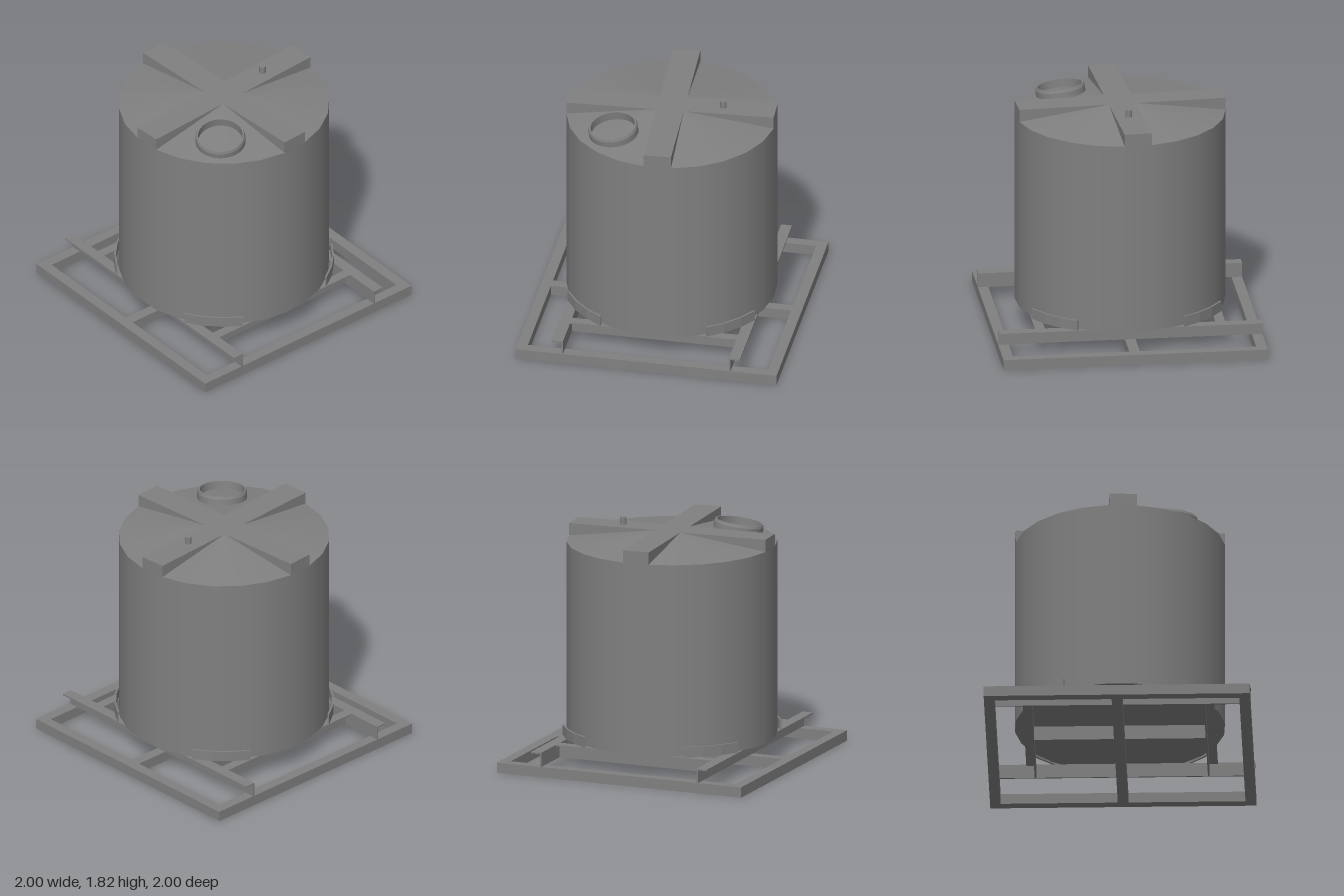
import * as THREE from 'three';

const steel = new THREE.MeshStandardMaterial({ color: 0x808080 });
steel.name = 'grey';

const R = 0.793, LOW = 1.67, HIGH = 1.765, BASE = 0.192;
const STEP = Math.PI / 12, HALF = STEP / 2;

function add(parent, name, geometry, x = 0, y = 0, z = 0) {
  const mesh = new THREE.Mesh(geometry, steel);
  mesh.name = name;
  mesh.position.set(x, y, z);
  parent.add(mesh);
  return mesh;
}

// Box given by its min and max corners
function bar(parent, name, x0, x1, y0, y1, z0, z1) {
  return add(parent, name, new THREE.BoxGeometry(x1 - x0, y1 - y0, z1 - z0),
    (x0 + x1) / 2, (y0 + y1) / 2, (z0 + z1) / 2);
}

// Tank roof: a level cross of ribs with four sloping panels between them
function roofGeometry() {
  const pts = [];
  const tri = (...p) => p.forEach(v => pts.push(...v));
  const quad = (a, b, c, d) => { tri(a, b, c); tri(a, c, d); };
  const rim = (a, y) => [R * Math.sin(a), y, R * Math.cos(a)];
  const inner = R * Math.sin(HALF) * Math.SQRT2;
  const corner = q => {
    const a = q * Math.PI / 2 + Math.PI / 4;
    return [inner * Math.sin(a), HIGH, inner * Math.cos(a)];
  };
  for (let q = 0; q < 4; q++) {
    const a0 = q * Math.PI / 2, c = corner(q);
    const start = a0 + HALF, end = start + 5 * STEP;
    for (let i = 0; i < 5; i++) {
      tri(c, rim(start + i * STEP, LOW), rim(start + (i + 1) * STEP, LOW));
    }
    // rib sides
    tri(c, rim(start, HIGH), rim(start, LOW));
    tri(c, rim(end, LOW), rim(end, HIGH));
    // rib end and rib top
    const l = a0 - HALF, r = a0 + HALF;
    quad(rim(l, LOW), rim(r, LOW), rim(r, HIGH), rim(l, HIGH));
    quad(rim(l, HIGH), rim(r, HIGH), c, corner(q - 1));
  }
  quad(corner(0), corner(1), corner(2), corner(3));
  const g = new THREE.BufferGeometry();
  g.setAttribute('position', new THREE.Float32BufferAttribute(pts, 3));
  g.computeVertexNormals();
  return g;
}

// Curved upright plate, centred on the diagonal
function bracketGeometry() {
  const shape = new THREE.Shape();
  const a0 = 0.515, a1 = Math.PI / 2 - a0, n = 3;
  for (let i = 0; i <= n; i++) {
    const a = a0 + (a1 - a0) * i / n;
    shape[i ? 'lineTo' : 'moveTo'](0.826 * Math.cos(a), 0.826 * Math.sin(a));
  }
  for (let i = n; i >= 0; i--) {
    const a = a0 + (a1 - a0) * i / n;
    shape.lineTo(0.812 * Math.cos(a), 0.812 * Math.sin(a));
  }
  const g = new THREE.ExtrudeGeometry(shape, { depth: 0.08, bevelEnabled: false });
  return g.rotateX(-Math.PI / 2);
}

export function createModel() {
  const model = new THREE.Group();
  model.name = 'storageTank';

  // Ground frame
  const frame = new THREE.Group();
  frame.name = 'groundFrame';
  model.add(frame);
  for (const s of [-0.96, 0.96]) {
    bar(frame, 'frameCrossBar', -1, 1, 0, 0.08, s - 0.04, s + 0.04);
    bar(frame, 'frameSideBar', s - 0.04, s + 0.04, 0, 0.08, -0.92, 0.92);
  }
  bar(frame, 'frameMiddleBar', -0.92, 0.92, 0, 0.08, -0.04, 0.04);

  // Angle-section support rails: upright web with an outward top flange
  const rails = new THREE.Group();
  rails.name = 'supportRails';
  model.add(rails);
  const t = 0.012, top = 0.19;
  for (const s of [-1, 1]) {
    const span = (a, b) => s > 0 ? [a, b] : [-b, -a];
    bar(rails, 'railWeb', ...span(0.648 - t, 0.648), 0.08, top, -1, 1);
    bar(rails, 'railFlange', ...span(0.648, 0.72), top - t, top, -1, 1);
    bar(rails, 'crossWeb', -0.636, 0.636, 0.08, top, ...span(0.645, 0.645 + t));
    bar(rails, 'crossFlange', -0.636, 0.636, top - t, top, ...span(0.645 + t, 0.72));
  }
  bar(rails, 'centreWeb', -0.038, -0.038 + t, 0.08, top, -0.645, 0.645);
  bar(rails, 'centreFlange', -0.038 + t, 0.038, top - t, top, -0.645, 0.645);

  // Corner brackets around the tank foot
  for (let i = 0; i < 4; i++) {
    add(model, 'cornerBracket', bracketGeometry(), 0, top, 0).rotation.y = i * Math.PI / 2;
  }

  // Tank, turned slightly on its frame
  const tank = new THREE.Group();
  tank.name = 'tank';
  tank.rotation.y = 0.057;
  model.add(tank);
  add(tank, 'tankWall', new THREE.CylinderGeometry(R, R, LOW - BASE, 24, 1, true, HALF),
    0, (LOW + BASE) / 2, 0);
  add(tank, 'tankFloor', new THREE.CircleGeometry(R, 24, HALF).rotateX(Math.PI / 2), 0, BASE, 0);
  add(tank, 'tankRoof', roofGeometry());

  // Open manhole collar, square to the sloping roof panel
  const profile = [[0.168, -0.03], [0.188, -0.03], [0.188, 0.045], [0.18, 0.065], [0.168, 0.065], [0.168, -0.03]];
  const collar = new THREE.Group();
  collar.name = 'manhole';
  for (let i = 0; i < profile.length - 1; i++) {
    const pair = [profile[i], profile[i + 1]].map(p => new THREE.Vector2(...p));
    add(collar, 'manholeCollar', new THREE.LatheGeometry(pair, 32));
  }
  const tilt = Math.sin(0.16) / Math.SQRT2;
  collar.quaternion.setFromUnitVectors(new THREE.Vector3(0, 1, 0),
    new THREE.Vector3(-tilt, Math.cos(0.16), tilt).normalize());
  collar.position.set(-0.365, 1.703, 0.405);
  model.add(collar);

  // Vent pipe on a rib
  add(model, 'ventPipe', new THREE.CylinderGeometry(0.025, 0.025, 0.06, 16), 0.39, 1.79, -0.02);

  return model;
}
